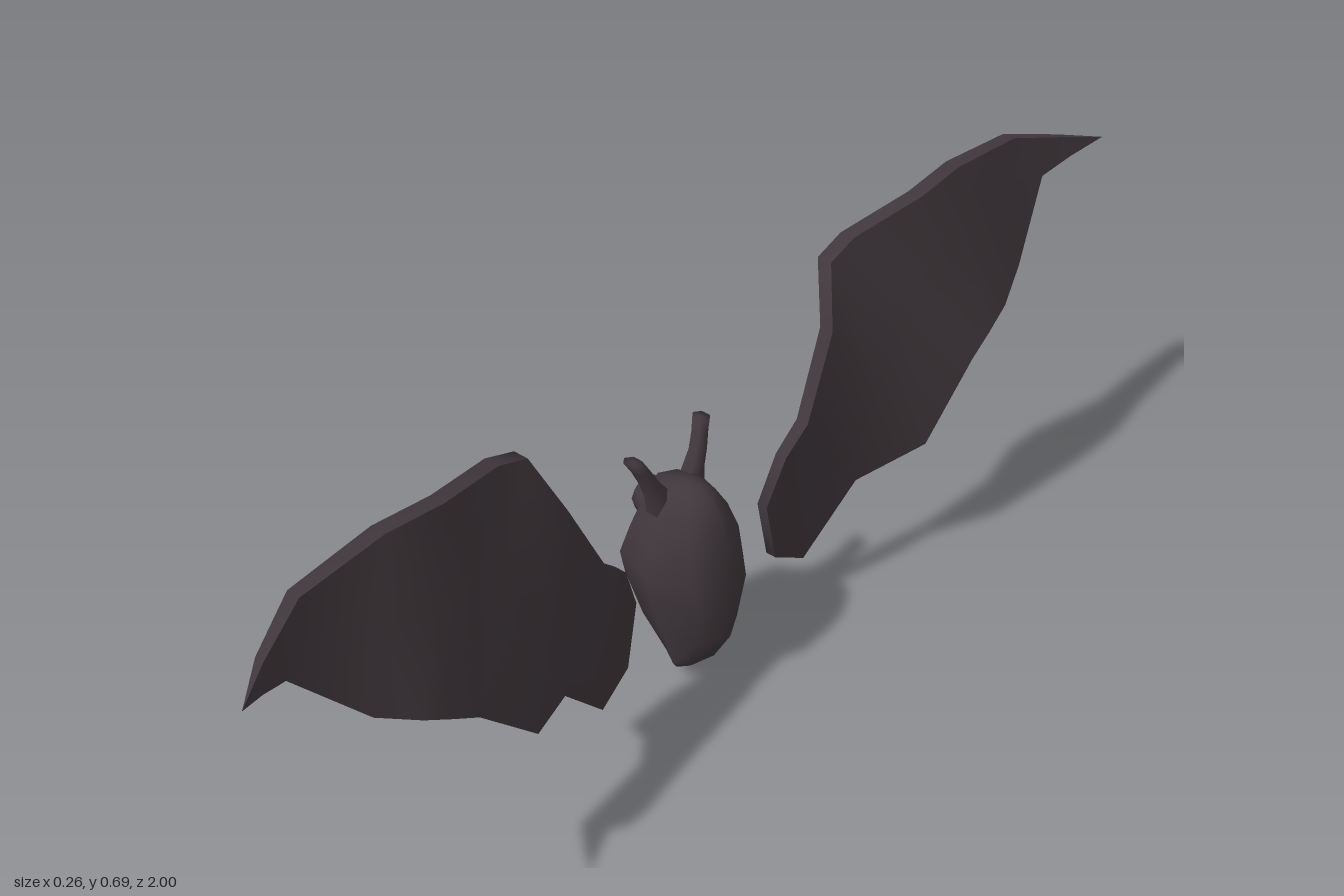
import * as THREE from 'three';
import { toCreasedNormals } from 'three/addons/utils/BufferGeometryUtils.js';

// Skin a list of closed cross-sections, each an equal-length list of [x, y, z]
function loft(rings) {
  const n = rings[0].length, index = [];
  for (let r = 0; r < rings.length - 1; r++) {
    for (let i = 0; i < n; i++) {
      const j = (i + 1) % n, a = r * n + i, b = r * n + j;
      index.push(a, a + n, b, b, a + n, b + n);
    }
  }
  const g = new THREE.BufferGeometry();
  g.setAttribute('position', new THREE.Float32BufferAttribute(rings.flat(2), 3));
  g.setIndex(index);
  g.computeVertexNormals();
  return g;
}

// Horizontal oval section
function oval(x, y, z, rx, rz, sides) {
  return Array.from({ length: sides }, (_, i) => {
    const a = (i / sides) * Math.PI * 2;
    return [x + Math.cos(a) * rx, y, z + Math.sin(a) * rz];
  });
}

// Wing stations from root to tip: leading [z, y, x], trailing [z, y, x], half thickness
const STATIONS = [
  [[0.165, 0.25, 0.02], [0.19, 0.13, 0.022], 0.01],
  [[0.20, 0.34, 0.03], [0.26, 0.09, 0.028], 0.011],
  [[0.25, 0.385, 0.034], [0.37, 0.21, 0.052], 0.012],
  [[0.32, 0.53, 0.024], [0.49, 0.25, 0.11], 0.013],
  [[0.36, 0.63, -0.016], [0.61, 0.37, 0.114], 0.014],
  [[0.42, 0.65, -0.016], [0.66, 0.40, 0.112], 0.014],
  [[0.56, 0.68, 0.018], [0.71, 0.43, 0.108], 0.014],
  [[0.67, 0.69, 0.016], [0.78, 0.47, 0.085], 0.014],
  [[0.83, 0.68, 0.022], [0.89, 0.59, 0.05], 0.012],
  [[0.93, 0.655, 0.065], [0.945, 0.615, 0.075], 0.008],
  [[1, 0.64, 0.11], [1, 0.64, 0.11], 0],
];

function wingGeometry() {
  const rings = STATIONS.map(([a, b, t]) => {
    const m = a.map((v, k) => (v + b[k]) / 2);
    const at = (p, s) => [p[2] + s * t, p[1], p[0]];
    return [at(a, 1), at(m, 1), at(b, 1), at(b, -1), at(m, -1), at(a, -1)];
  });
  // close the root end
  const root = [0, 1, 2].map(k => rings[0].reduce((s, p) => s + p[k], 0) / 6);
  rings.unshift(rings[0].map(() => root));
  return toCreasedNormals(loft(rings), 0.9);
}

export function createModel() {
  const group = new THREE.Group();
  const fur = new THREE.MeshStandardMaterial({ color: 0x40373c });
  fur.name = 'dark fur';
  const add = (name, geometry) => {
    const mesh = new THREE.Mesh(geometry, fur);
    mesh.name = name;
    group.add(mesh);
    return mesh;
  };

  // Body and head: height, back x, front x, half width
  const body = [
    [0, 0, 0, 0], [0.02, -0.012, 0.025, 0.042], [0.045, -0.026, 0.055, 0.06],
    [0.107, -0.088, 0.09, 0.069], [0.19, -0.12, 0.103, 0.089],
    [0.23, -0.13, 0.095, 0.091], [0.29, -0.107, 0.085, 0.082],
    [0.34, -0.085, 0.068, 0.06], [0.37, -0.068, 0.048, 0.04],
    [0.384, -0.02, 0.02, 0.018], [0.385, 0, 0, 0],
  ].map(([y, x0, x1, w]) => oval((x0 + x1) / 2, y, 0, (x1 - x0) / 2, w, 8));
  add('body', loft(body));

  // Snout
  const snout = add('snout', new THREE.SphereGeometry(1, 8, 6));
  snout.scale.set(0.036, 0.036, 0.04);
  snout.position.set(-0.076, 0.317, 0);

  // Ears: x, y, z, half depth, half width
  const earGeometry = loft([
    [-0.03, 0.335, 0.035, 0.026, 0.026], [-0.032, 0.37, 0.044, 0.02, 0.022],
    [-0.034, 0.40, 0.06, 0.017, 0.016], [-0.041, 0.43, 0.074, 0.016, 0.014],
    [-0.047, 0.448, 0.084, 0.018, 0.014], [-0.047, 0.449, 0.084, 0, 0],
  ].map(p => oval(...p, 6)));

  // Mirrored pairs
  const wing = wingGeometry();
  for (const side of [1, -1]) {
    const label = side > 0 ? 'Front' : 'Back';
    add('ear' + label, earGeometry).scale.z = side;
    add('wing' + label, wing).scale.z = side;
  }
  return group;
}
